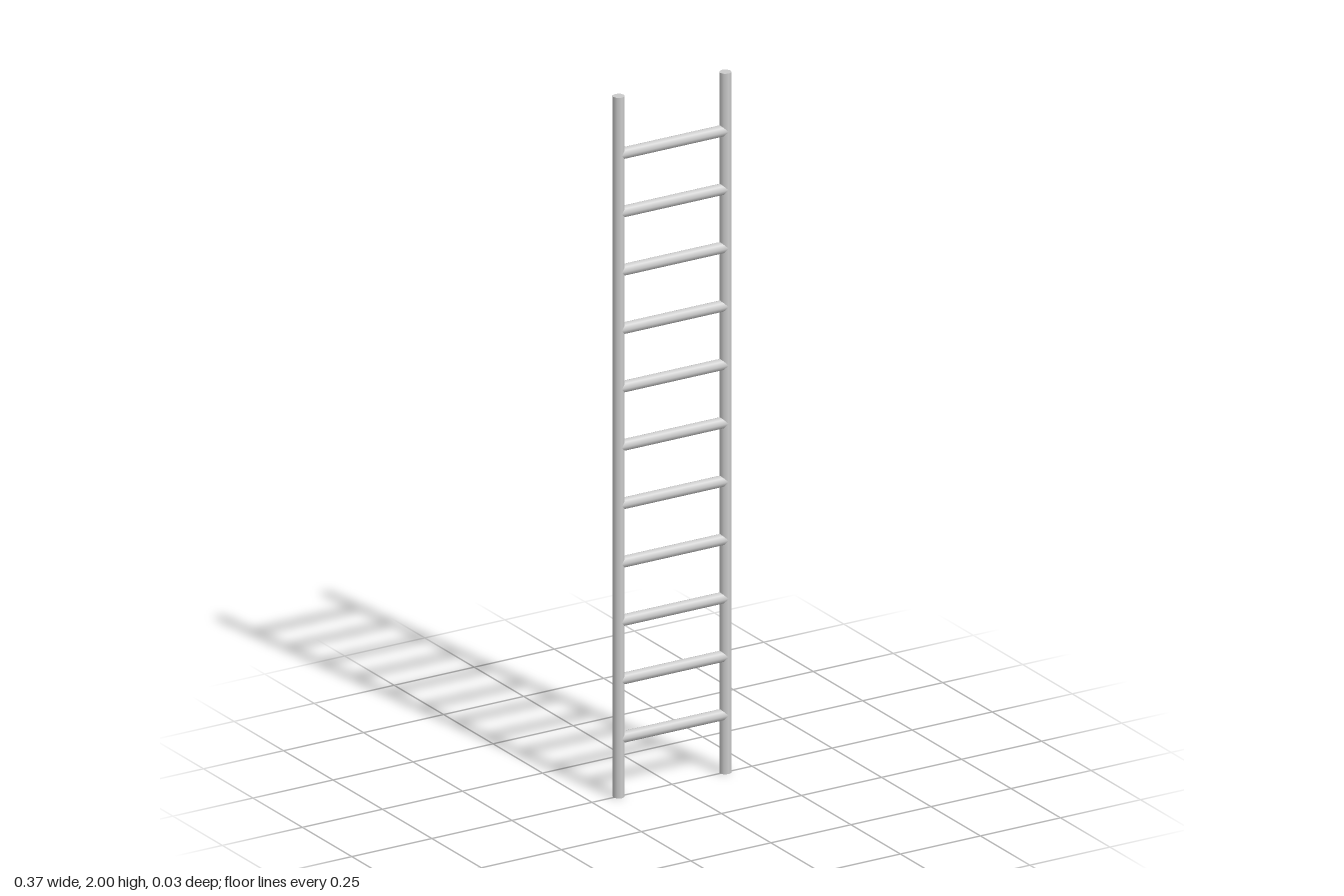
import * as THREE from 'three';

export function createModel() {
  const model = new THREE.Group();
  model.name = 'ladder';
  const material = new THREE.MeshStandardMaterial({ color: 0xcccccc });
  const radius = 1 / 60, sides = 8, railX = 1 / 6, height = 2, rungCount = 11;

  // Two upright round rails
  const railGeometry = new THREE.CylinderGeometry(radius, radius, height, sides);
  for (const [name, side] of [['leftRail', 1], ['rightRail', -1]]) {
    const rail = new THREE.Mesh(railGeometry, material);
    rail.name = name;
    rail.position.set(side * railX, height / 2, 0);
    model.add(rail);
  }

  // Evenly spaced rungs running between the rail centres
  const rungGeometry = new THREE.CylinderGeometry(radius, radius, railX * 2, sides).rotateZ(Math.PI / 2);
  const rungs = new THREE.Group();
  rungs.name = 'rungs';
  for (let i = 1; i <= rungCount; i++) {
    const rung = new THREE.Mesh(rungGeometry, material);
    rung.name = `rung${i}`;
    rung.position.y = (height * i) / (rungCount + 1);
    rungs.add(rung);
  }
  model.add(rungs);

  return model;
}
